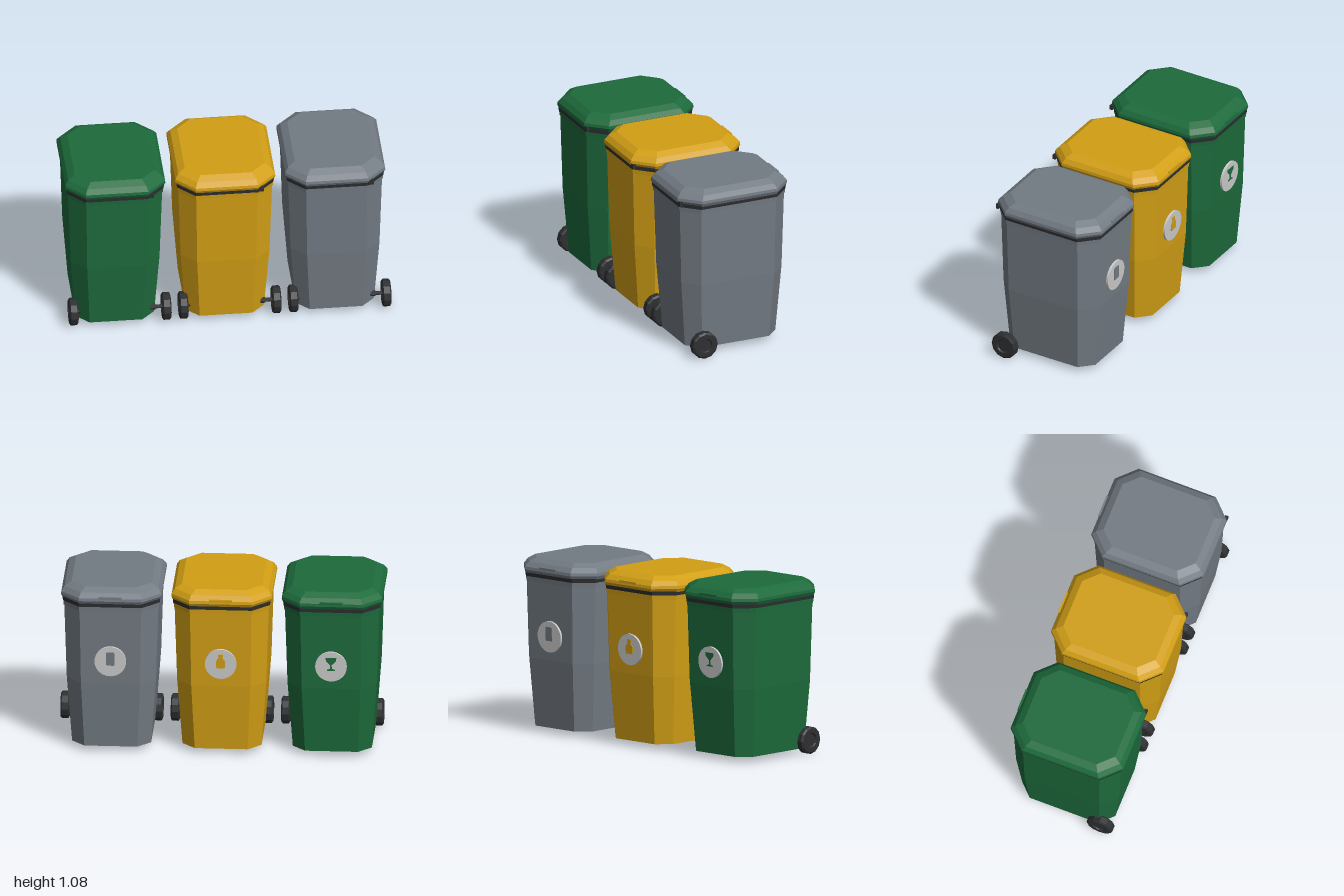
import * as THREE from 'three';

const mat = (color, opts = {}) => new THREE.MeshStandardMaterial({ color, flatShading: true, ...opts });
const dark = mat(0x2e2f31);
const white = mat(0xcccccc);

function add(parent, name, geometry, material, x = 0, y = 0, z = 0) {
  const m = new THREE.Mesh(geometry, material);
  m.name = name;
  m.position.set(x, y, z);
  parent.add(m);
  return m;
}

// Skin stacked chamfered rectangles [y, halfX, halfZ, chamfer], bottom to top, with end caps
function loft(rings) {
  const pos = [], index = [], n = 8;
  for (const [y, a, b, c] of rings) {
    const corners = [[a, b - c], [a - c, b], [c - a, b], [-a, b - c], [-a, c - b], [c - a, -b], [a - c, -b], [a, c - b]];
    for (const [x, z] of corners) pos.push(x, y, z);
  }
  for (let r = 0; r < rings.length - 1; r++) {
    for (let i = 0; i < n; i++) {
      const p = r * n + i, q = r * n + (i + 1) % n;
      index.push(p, p + n, q, q, p + n, q + n);
    }
  }
  const top = (rings.length - 1) * n;
  for (let i = 1; i < n - 1; i++) {
    index.push(0, i, i + 1);
    index.push(top, top + i + 1, top + i);
  }
  const g = new THREE.BufferGeometry();
  g.setAttribute('position', new THREE.Float32BufferAttribute(pos, 3));
  g.setIndex(index);
  const flat = g.toNonIndexed();
  flat.computeVertexNormals();
  return flat;
}

// Mirror a half outline about x = 0 and extrude it
function icon(half) {
  const pts = [...half, ...half.slice().reverse().map(([x, y]) => [-x, y])];
  const shape = new THREE.Shape(pts.map(([x, y]) => new THREE.Vector2(x, y)));
  return new THREE.ExtrudeGeometry(shape, { depth: 0.005, bevelEnabled: false });
}

const can = [[0.022, -0.03], [0.026, -0.024], [0.026, 0.05], [0.021, 0.057]];
const bottle = [[0.024, -0.03], [0.028, -0.024], [0.028, 0.015], [0.012, 0.036], [0.012, 0.045], [0.015, 0.047], [0.015, 0.06]];
const glass = [[0.025, -0.03], [0.025, -0.024], [0.005, -0.018], [0.005, 0.008], [0.03, 0.035], [0.034, 0.055]];

// Twelve-sided wheel with a recessed hub on both faces
const wheelProfile = [[0, -0.018], [0.04, -0.018], [0.046, -0.027], [0.074, -0.027], [0.085, -0.019],
  [0.085, 0.019], [0.074, 0.027], [0.046, 0.027], [0.04, 0.018], [0, 0.018]];
const wheelGeo = new THREE.LatheGeometry(wheelProfile.map(([x, y]) => new THREE.Vector2(x, y)), 12).rotateZ(Math.PI / 2);

function createBin(name, color, outline) {
  const bin = new THREE.Group();
  bin.name = name;
  const paint = mat(color);

  // Tapered tub with a stepped rim
  add(bin, 'body', loft([
    [0.036, 0.242, 0.305, 0.08],
    [0.46, 0.273, 0.338, 0.092],
    [0.938, 0.288, 0.351, 0.1],
  ]), paint);
  add(bin, 'rim', loft([
    [0.938, 0.292, 0.355, 0.102],
    [0.968, 0.294, 0.357, 0.102],
  ]), paint);
  add(bin, 'seal', loft([
    [0.967, 0.296, 0.359, 0.104],
    [0.992, 0.299, 0.362, 0.106],
  ]), dark);

  // Domed lid with sloping edges
  add(bin, 'lid', loft([
    [0.986, 0.298, 0.36, 0.11],
    [1.008, 0.308, 0.37, 0.115],
    [1.026, 0.306, 0.367, 0.114],
    [1.055, 0.287, 0.343, 0.106],
    [1.08, 0.245, 0.302, 0.088],
  ]), paint);
  add(bin, 'lidHandle', new THREE.BoxGeometry(0.14, 0.014, 0.022), paint, 0, 1.028, -0.361);
  add(bin, 'hingePin', new THREE.BoxGeometry(0.03, 0.03, 0.02), dark, 0.21, 0.993, 0.357);

  // Axle and wheels
  const axle = add(bin, 'axle', new THREE.CylinderGeometry(0.012, 0.012, 0.56, 8), dark, 0.03, 0.085, 0.247);
  axle.rotation.z = Math.PI / 2;
  const collar = add(bin, 'axleCollar', new THREE.CylinderGeometry(0.018, 0.018, 0.03, 8), dark, 0.232, 0.085, 0.247);
  collar.rotation.z = Math.PI / 2;
  add(bin, 'rightWheel', wheelGeo, dark, -0.258, 0.085, 0.247);
  add(bin, 'leftWheel', wheelGeo, dark, 0.313, 0.085, 0.247);

  // Round badge with a raised pictogram on the back
  const badge = new THREE.Group();
  badge.name = 'badge';
  badge.position.set(0, 0.61, -0.348);
  badge.rotation.set(-0.03, Math.PI, 0);
  add(badge, 'badgeDisc', new THREE.CylinderGeometry(0.097, 0.097, 0.016, 32).rotateX(Math.PI / 2), white);
  add(badge, 'badgeIcon', icon(outline), paint, 0, 0.005, 0.007);
  bin.add(badge);
  return bin;
}

export function createModel() {
  const model = new THREE.Group();
  model.name = 'recyclingBins';
  const bins = [
    ['greenBin', 0x1d6b3c, glass],
    ['yellowBin', 0xd29f15, bottle],
    ['greyBin', 0x737b83, can],
  ];
  bins.forEach(([name, color, outline], i) => {
    const bin = createBin(name, color, outline);
    bin.position.x = -0.691 + i * 0.6755;
    model.add(bin);
  });
  return model;
}
